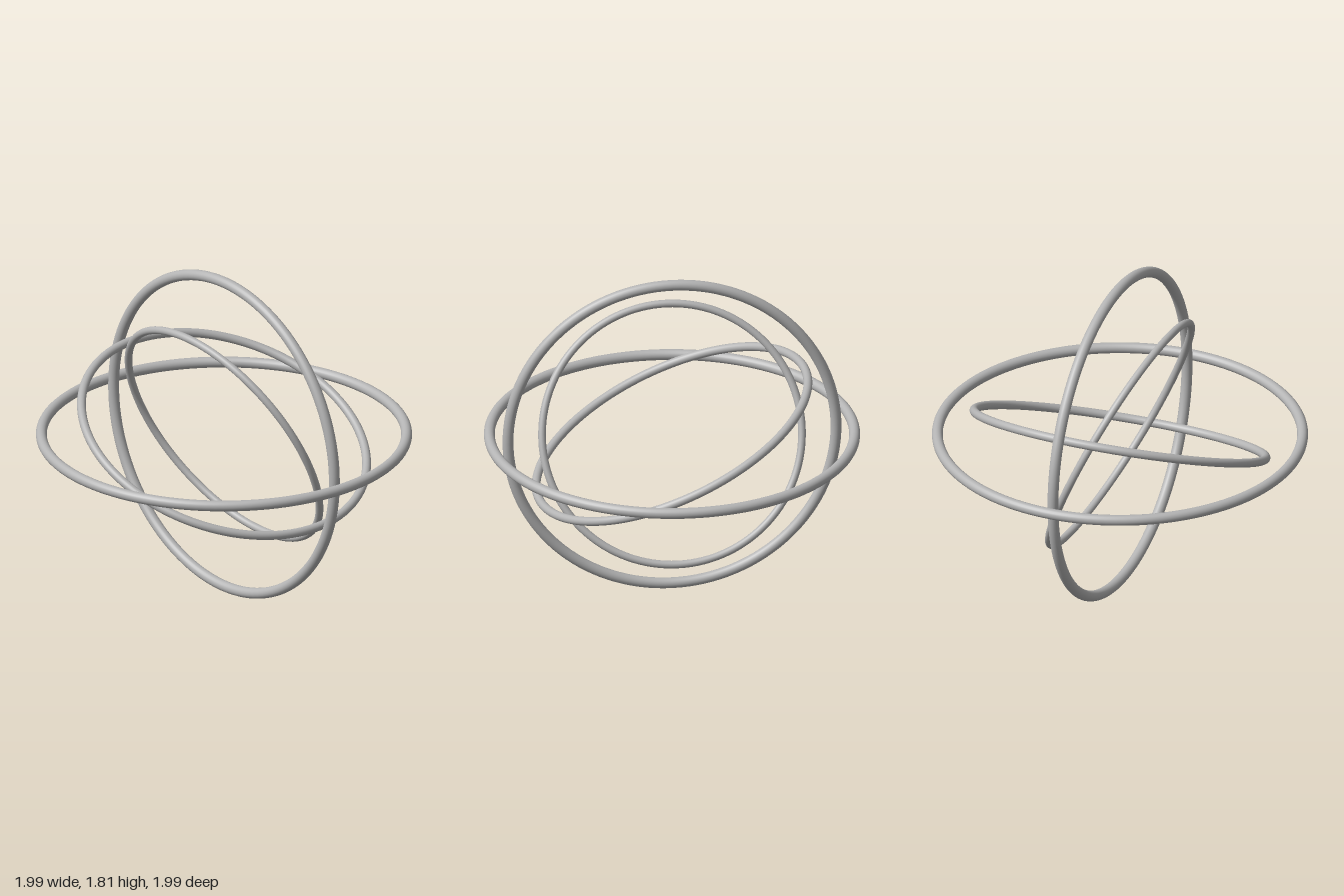
import * as THREE from 'three';

export function createModel() {
  const model = new THREE.Group();
  model.name = 'nestedRings';
  const metal = new THREE.MeshStandardMaterial({ color: 0xb4b4b4 });
  metal.name = 'grey metal';

  const CENTRE_Y = 0.912;
  const TILT = THREE.MathUtils.degToRad(23.4);
  const QUARTER = Math.PI / 2;

  // One ring around the shared centre; a torus starts in the xy plane
  function addRing(name, radius, tube, rx, ry, rz) {
    const ring = new THREE.Mesh(new THREE.TorusGeometry(radius, tube, 20, 128), metal);
    ring.name = name;
    ring.rotation.set(rx, ry, rz, 'ZXY');
    ring.position.y = CENTRE_Y;
    model.add(ring);
  }

  addRing('horizonRing', 0.967, 0.029, QUARTER, 0, 0);
  addRing('meridianRing', 0.874, 0.029, 0, QUARTER, 0);
  // Lying ring, tipped down at the front
  addRing('tiltedLyingRing', 0.783, 0.0235, QUARTER + TILT, 0, 0);
  // Upright ring, leaning towards -x at the top
  addRing('tiltedUprightRing', 0.692, 0.0205, 0, QUARTER, TILT);

  return model;
}
